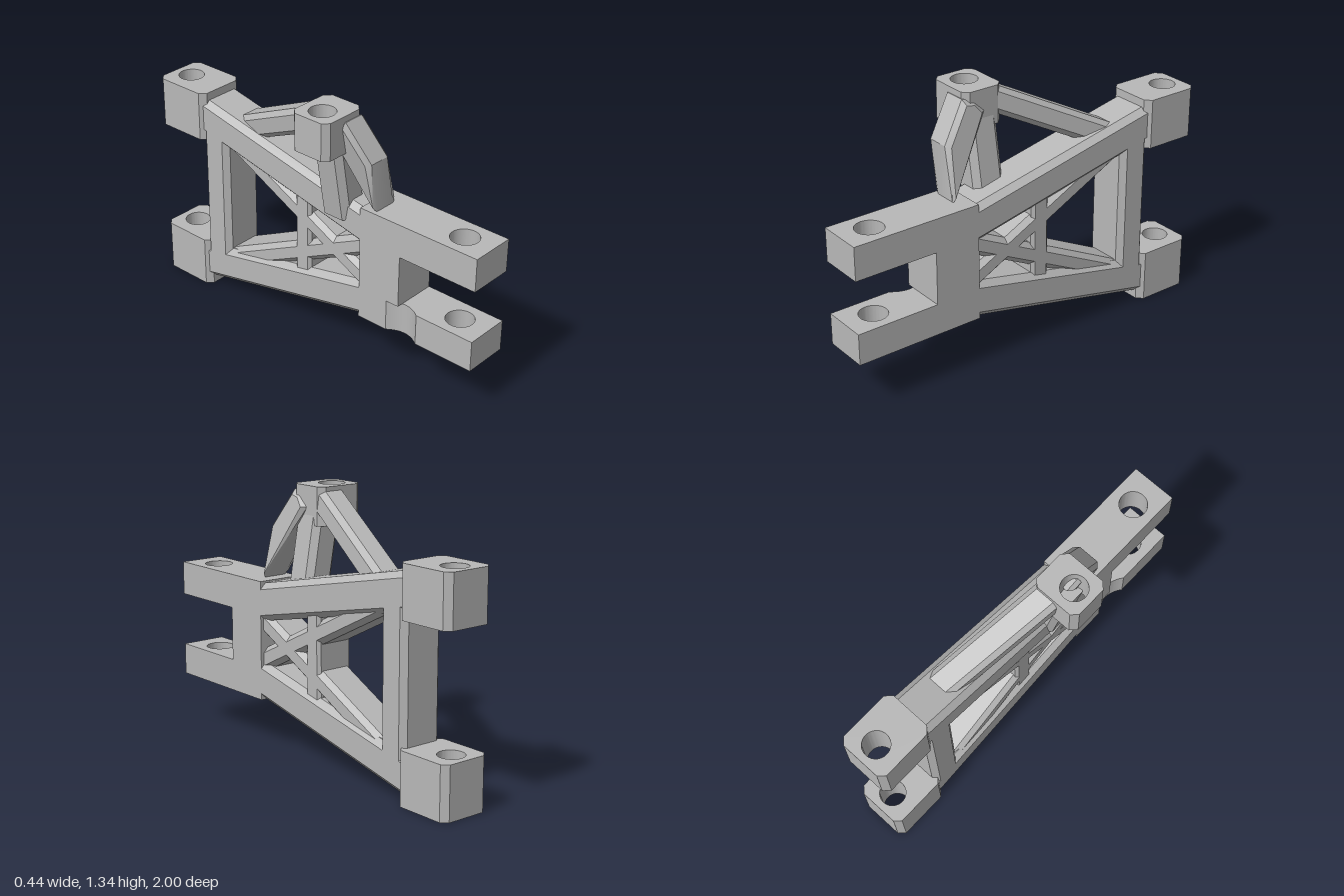
import * as THREE from 'three';
import { toCreasedNormals } from 'three/addons/utils/BufferGeometryUtils.js';

const MID_Y = 0.556; // mirror height of the arm
const CX = 0.0825; // centre line of the arm

export function createModel() {
  const model = new THREE.Group();
  model.name = 'suspensionArm';
  const grey = new THREE.MeshStandardMaterial({ color: 0xb8b8b8 });
  grey.name = 'plain grey';

  function add(name, geo) {
    const mesh = new THREE.Mesh(toCreasedNormals(geo, 0.4), grey);
    mesh.name = name;
    model.add(mesh);
    return mesh;
  }

  // Rectangle outline with chamfered corners
  function chamfered(x0, x1, y0, y1, c) {
    const pts = c > 0
      ? [[x0 + c, y0], [x1 - c, y0], [x1, y0 + c], [x1, y1 - c], [x1 - c, y1], [x0 + c, y1], [x0, y1 - c], [x0, y0 + c]]
      : [[x0, y0], [x1, y0], [x1, y1], [x0, y1]];
    return new THREE.Shape(pts.map(([x, y]) => new THREE.Vector2(x, y)));
  }

  // Plan outline (x, -z) raised from y0 to y1, with a round vertical bore
  function bored(name, shape, hx, hz, r, y0, y1) {
    const hole = new THREE.Path();
    hole.absarc(hx, -hz, r, 0, Math.PI * 2, true);
    shape.holes.push(hole);
    const geo = new THREE.ExtrudeGeometry(shape, { depth: y1 - y0, bevelEnabled: false, curveSegments: 32 });
    geo.rotateX(-Math.PI / 2).translate(0, y0, 0);
    return add(name, geo);
  }

  // Straight chamfered bar between two points; w runs across x
  function bar(name, from, to, w, h, c) {
    const a = new THREE.Vector3(...from);
    const dir = new THREE.Vector3(...to).sub(a);
    const len = dir.length();
    dir.normalize();
    const side = new THREE.Vector3(1, 0, 0).addScaledVector(dir, -dir.x).normalize();
    const up = new THREE.Vector3().crossVectors(dir, side);
    const geo = new THREE.ExtrudeGeometry(chamfered(-w / 2, w / 2, -h / 2, h / 2, c), { depth: len, bevelEnabled: false });
    geo.applyMatrix4(new THREE.Matrix4().makeBasis(side, up, dir).setPosition(a));
    return add(name, geo);
  }

  // Fork: upper prong, web, lower prong with a shallow scoop on one side
  bored('upperProng', chamfered(-0.035, 0.2, -1, -0.33, 0), CX, 0.845, 0.07, 0.69, 0.86);
  add('forkWeb', new THREE.BoxGeometry(0.235, 0.27, 0.24).translate(CX, 0.555, 0.45));
  const lower = new THREE.Shape();
  lower.moveTo(-0.035, -1);
  lower.lineTo(0.2, -1);
  lower.lineTo(0.2, -0.33);
  lower.lineTo(-0.035, -0.33);
  lower.lineTo(-0.035, -0.5);
  lower.quadraticCurveTo(0.035, -0.59, -0.035, -0.68);
  lower.closePath();
  bored('lowerProng', lower, CX, 0.845, 0.07, 0.26, 0.42);

  // Rear mounting blocks
  [['lowerRearBlock', 0, 0.265], ['upperRearBlock', 0.855, 1.11]].forEach(([name, y0, y1]) =>
    bored(name, chamfered(-0.05, 0.215, 0.685, 1, 0.03), CX, -0.9, 0.065, y0, y1));

  // Main arms and crossing braces, mirrored about the middle height
  [['upper', 1], ['lower', -1]].forEach(([side, s]) => {
    bar(side + 'Arm', [CX, MID_Y + s * 0.184, 0.4], [CX, MID_Y + s * 0.425, -0.72], 0.235, 0.186, 0.03);
    bar(side + 'CrossBrace', [CX, MID_Y - s * 0.105, 0.36], [CX, MID_Y + s * 0.375, -0.6], 0.2, 0.107, 0.025);
  });
  bar('middlePost', [CX, 0.35, -0.05], [CX, 0.765, -0.05], 0.2, 0.1, 0.015);
  bar('rearPost', [CX, 0.17, -0.63], [CX, 0.95, -0.63], 0.235, 0.165, 0.028);

  // Raised offset mount
  bored('topMount', chamfered(-0.22, 0.035, -0.28, -0.062, 0.03), -0.12, 0.17, 0.065, 1.145, 1.335);
  bar('mountRearBrace', [-0.045, 1.262, 0.1], [0.1, 0.965, -0.49], 0.145, 0.125, 0.025);
  bar('mountUprightBrace', [0.03, 0.77, 0.175], [-0.045, 1.2, 0.175], 0.155, 0.17, 0.03);

  // Front brace: side outline sheared sideways as it descends
  const outline = [[0.17, 1.23], [0.41, 0.85], [0.41, 1.12], [0.285, 1.305], [0.22, 1.29]];
  const front = new THREE.ExtrudeGeometry(new THREE.Shape(outline.map(([z, y]) => new THREE.Vector2(z, y))), {
    depth: 0.11, bevelEnabled: true, bevelSegments: 1, bevelThickness: 0.022, bevelSize: 0.022, bevelOffset: -0.022,
  });
  front.rotateY(-Math.PI / 2).translate(0.055, 0, 0);
  const p = front.attributes.position;
  for (let i = 0; i < p.count; i++) p.setX(i, p.getX(i) - 0.033 + (1.28 - p.getY(i)) * 0.2);
  front.computeVertexNormals();
  add('mountFrontBrace', front);

  return model;
}
